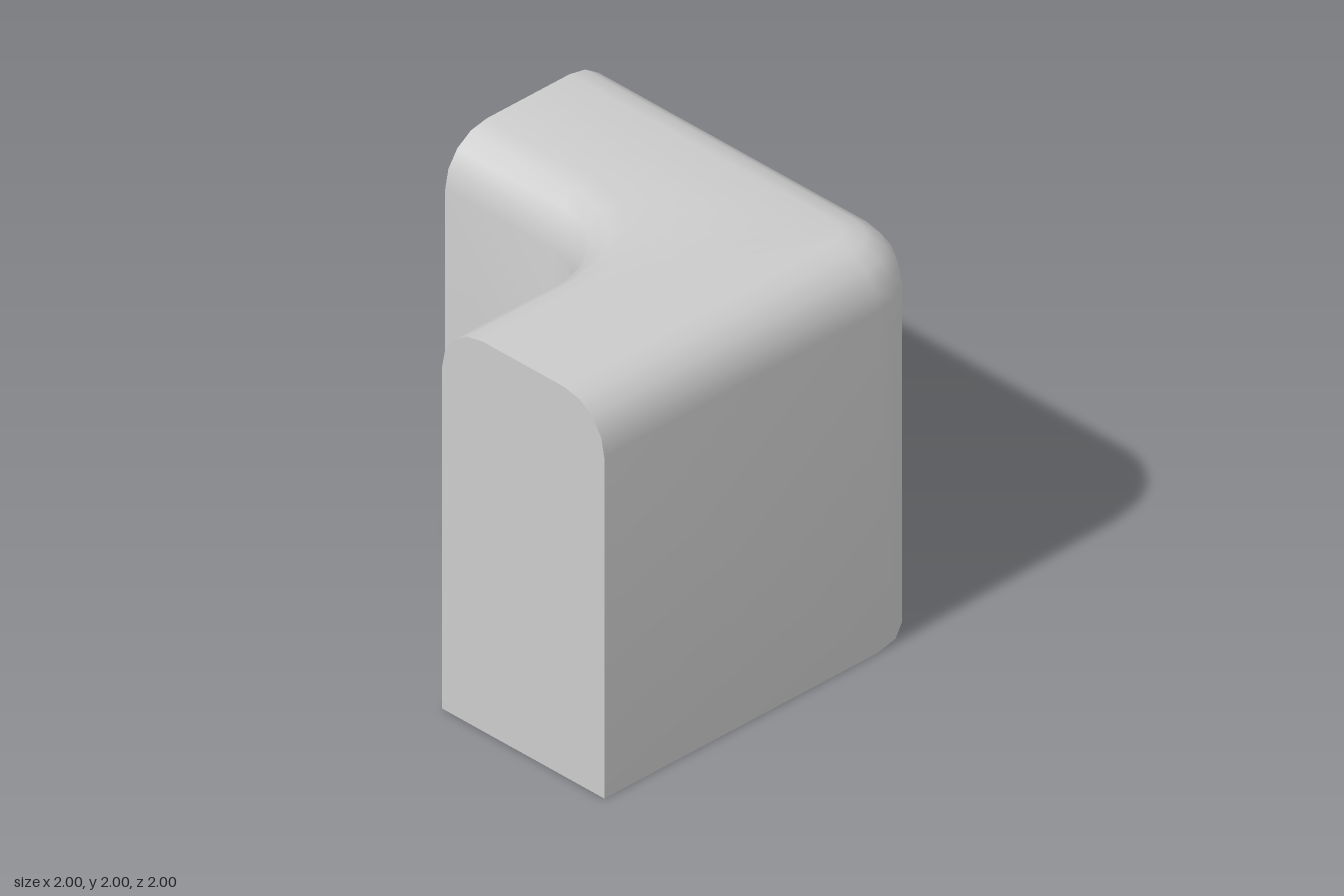
import * as THREE from 'three';
import { toCreasedNormals } from 'three/addons/utils/BufferGeometryUtils.js';

const STEPS = 4;         // facets per rounded quarter
const CORNER = 0.35;     // plan radius of both corners
const BEVEL = 0.25;      // radius of the rounded top edges

// Plan lines of the outer and inner wall, shifted into the wall by d
function planLine(d, inner) {
  const centre = inner ? -CORNER : 1 - CORNER;
  const radius = inner ? CORNER + d : CORNER - d;
  const edge = inner ? d : 1 - d;
  const line = [[edge, 1]];
  for (let i = 0; i <= STEPS; i++) {
    const a = (i / STEPS) * Math.PI / 2;
    line.push([centre + radius * Math.cos(a), -centre - radius * Math.sin(a)]);
  }
  line.push([-1, -edge]);
  return line;
}

// The foot of the inner corner bulges out of the rounded wall
const innerFoot = [[0, 1], [0, 0.35], [-0.04, 0.23], [-0.15, 0.175], [-0.26, 0.12], [-0.3, 0], [-1, 0]];

export function createModel() {
  // Rows run along the bend, stacked from the outer foot over the top to the inner foot
  const rows = [{ y: 0, line: planLine(0, false) }];
  const bevel = [];
  for (let i = 0; i <= STEPS; i++) {
    const a = (i / STEPS) * Math.PI / 2;
    bevel.push([BEVEL * (1 - Math.cos(a)), 2 - BEVEL + BEVEL * Math.sin(a)]);
  }
  bevel.forEach(([d, y]) => rows.push({ y, line: planLine(d, false) }));
  [...bevel].reverse().forEach(([d, y]) => rows.push({ y, line: planLine(d, true) }));
  rows.push({ y: 0, line: innerFoot });

  const n = innerFoot.length;
  const positions = [];
  const index = [];
  rows.forEach(({ y, line }) => line.forEach(([x, z]) => positions.push(x, y, z)));

  // Walls and top
  for (let r = 0; r < rows.length - 1; r++) {
    for (let s = 0; s < n - 1; s++) {
      const a = r * n + s, b = a + 1, c = a + n, d = c + 1;
      index.push(a, b, c, b, d, c);
    }
  }
  // Flat ends; the underside stays open
  for (let r = 1; r < rows.length - 1; r++) {
    index.push(0, r * n, (r + 1) * n);
    index.push(n - 1, (r + 2) * n - 1, (r + 1) * n - 1);
  }

  const geometry = new THREE.BufferGeometry();
  geometry.setAttribute('position', new THREE.Float32BufferAttribute(positions, 3));
  geometry.setIndex(index);

  const material = new THREE.MeshStandardMaterial({ color: 0xcccccc, side: THREE.DoubleSide });
  const wall = new THREE.Mesh(toCreasedNormals(geometry, 0.82), material);
  wall.name = 'cornerWall';

  const group = new THREE.Group();
  group.name = 'roundedCornerWall';
  group.add(wall);
  return group;
}
